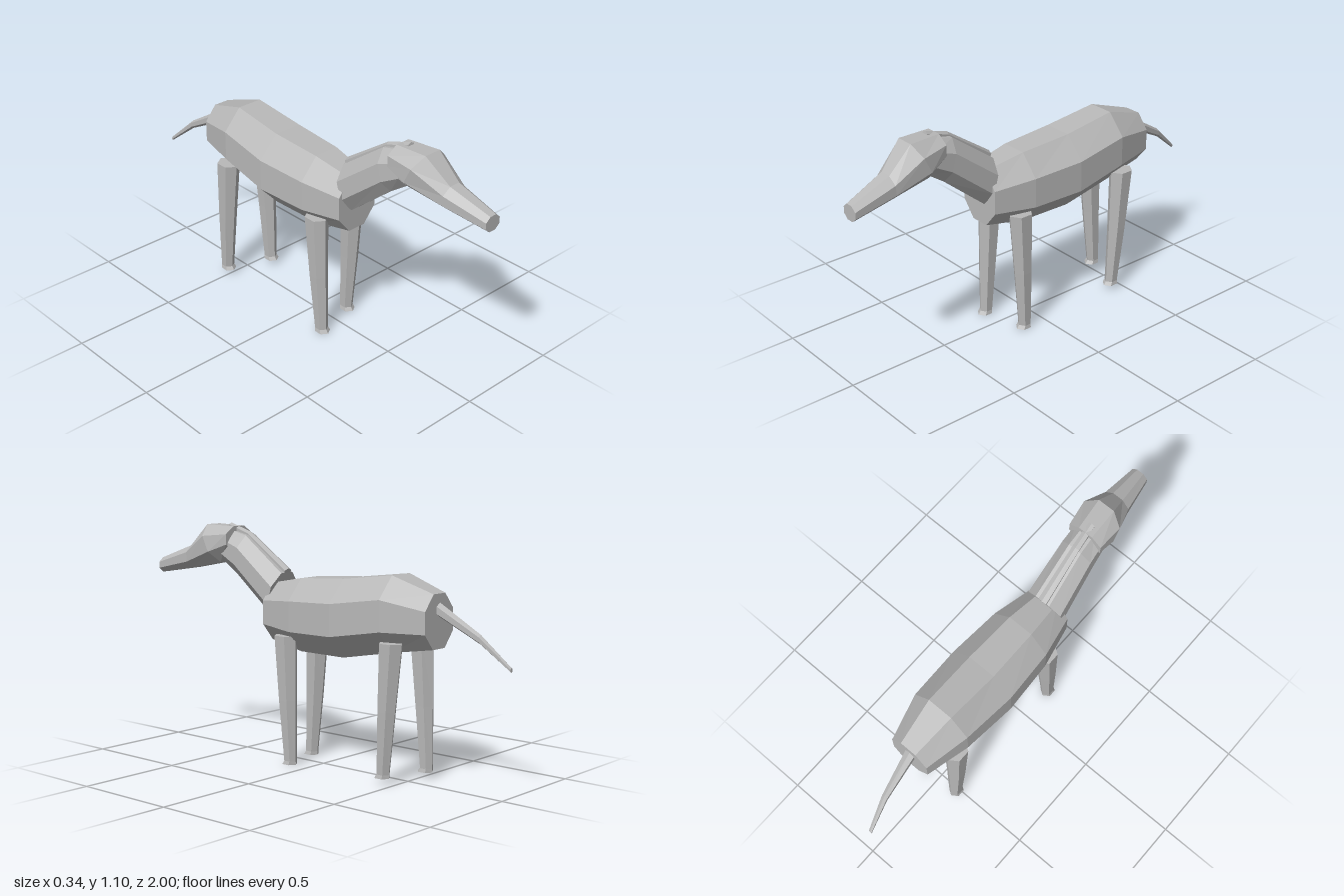
import * as THREE from 'three';

const coat = new THREE.MeshStandardMaterial({ color: 0xb8b8b8 });
coat.name = 'grey coat';

// Faceted, capped loft. Section: [x, y, z, half width, half height, tilt].
// Sections run back to front (or top to bottom at a tilt of PI / 2).
function loft(name, sides, sections) {
  const rings = sections.map(([x, y, z, hw, hh, tilt = 0]) => {
    const k = 1 / Math.cos(Math.PI / sides);
    return Array.from({ length: sides }, (_, i) => {
      const a = ((i + 0.5) / sides) * Math.PI * 2;
      const v = Math.sin(a) * hh * k;
      return [x + Math.cos(a) * hw * k, y + v * Math.cos(tilt), z + v * Math.sin(tilt)];
    });
  });
  const pos = [];
  const tri = (...p) => p.forEach((q) => pos.push(...q));
  const last = rings.length - 1;
  for (let i = 0; i < sides; i++) {
    const j = (i + 1) % sides;
    for (let s = 0; s < last; s++) {
      const a = rings[s], b = rings[s + 1];
      tri(a[i], a[j], b[i]);
      tri(a[j], b[j], b[i]);
    }
    tri(sections[0].slice(0, 3), rings[0][j], rings[0][i]);
    tri(sections[last].slice(0, 3), rings[last][i], rings[last][j]);
  }
  const geo = new THREE.BufferGeometry();
  geo.setAttribute('position', new THREE.Float32BufferAttribute(pos, 3));
  geo.computeVertexNormals();
  const mesh = new THREE.Mesh(geo, coat);
  mesh.name = name;
  return mesh;
}

// Tapered leg ending in a small flared hoof
function leg(name, side, z, top, footZ, foot) {
  const t = Math.PI / 2;
  const mid = (top + foot) / 2;
  return loft(name, 6, [
    [side * 0.11, top, z, 0.045, 0.052, t],
    [side * 0.111, mid, (z + footZ) / 2, 0.036, 0.04, t],
    [side * 0.108, foot + 0.017, footZ, 0.026, 0.028, t],
    [side * 0.108, foot, footZ + 0.006, 0.03, 0.034, t],
  ]);
}

export function createModel() {
  const model = new THREE.Group();
  model.name = 'animal';

  model.add(loft('body', 8, [
    [0, 0.732, -0.66, 0.1, 0.12],
    [0, 0.75, -0.45, 0.152, 0.17],
    [0, 0.708, -0.18, 0.168, 0.178],
    [0, 0.7, 0.08, 0.152, 0.17],
    [0, 0.699, 0.28, 0.11, 0.134],
  ]));

  model.add(loft('neck', 8, [
    [0, 0.775, 0.257, 0.093, 0.108, -0.26],
    [0.01, 0.948, 0.48, 0.081, 0.1, -0.25],
    [0.015, 0.99, 0.575, 0.076, 0.08, -0.25],
  ]));

  model.add(loft('mane', 6, [
    [-0.003, 0.882, 0.228, 0.022, 0.017, -0.4],
    [0.008, 1.045, 0.462, 0.018, 0.015, -0.4],
    [0.018, 1.085, 0.578, 0.016, 0.013, -0.2],
  ]));

  // Head turns a little towards its left
  model.add(loft('head', 8, [
    [0.015, 1.025, 0.53, 0.088, 0.06],
    [0.028, 1.0, 0.645, 0.102, 0.1, 0.46],
    [0.045, 0.926, 0.798, 0.066, 0.055, 0.1],
    [0.066, 0.874, 1, 0.042, 0.036],
  ]));

  model.add(loft('tail', 6, [
    [-0.053, 0.551, -0.998, 0.008, 0.009, 0],
    [-0.025, 0.67, -0.86, 0.014, 0.018, 0],
    [-0.003, 0.79, -0.645, 0.025, 0.028, 0],
  ]));

  model.add(
    leg('frontLegLeft', 1, 0.135, 0.605, 0.11, 0),
    leg('frontLegRight', -1, 0.135, 0.605, 0.168, 0),
    leg('rearLegLeft', 1, -0.485, 0.632, -0.445, 0.028),
    leg('rearLegRight', -1, -0.485, 0.632, -0.52, 0.028),
  );
  return model;
}
